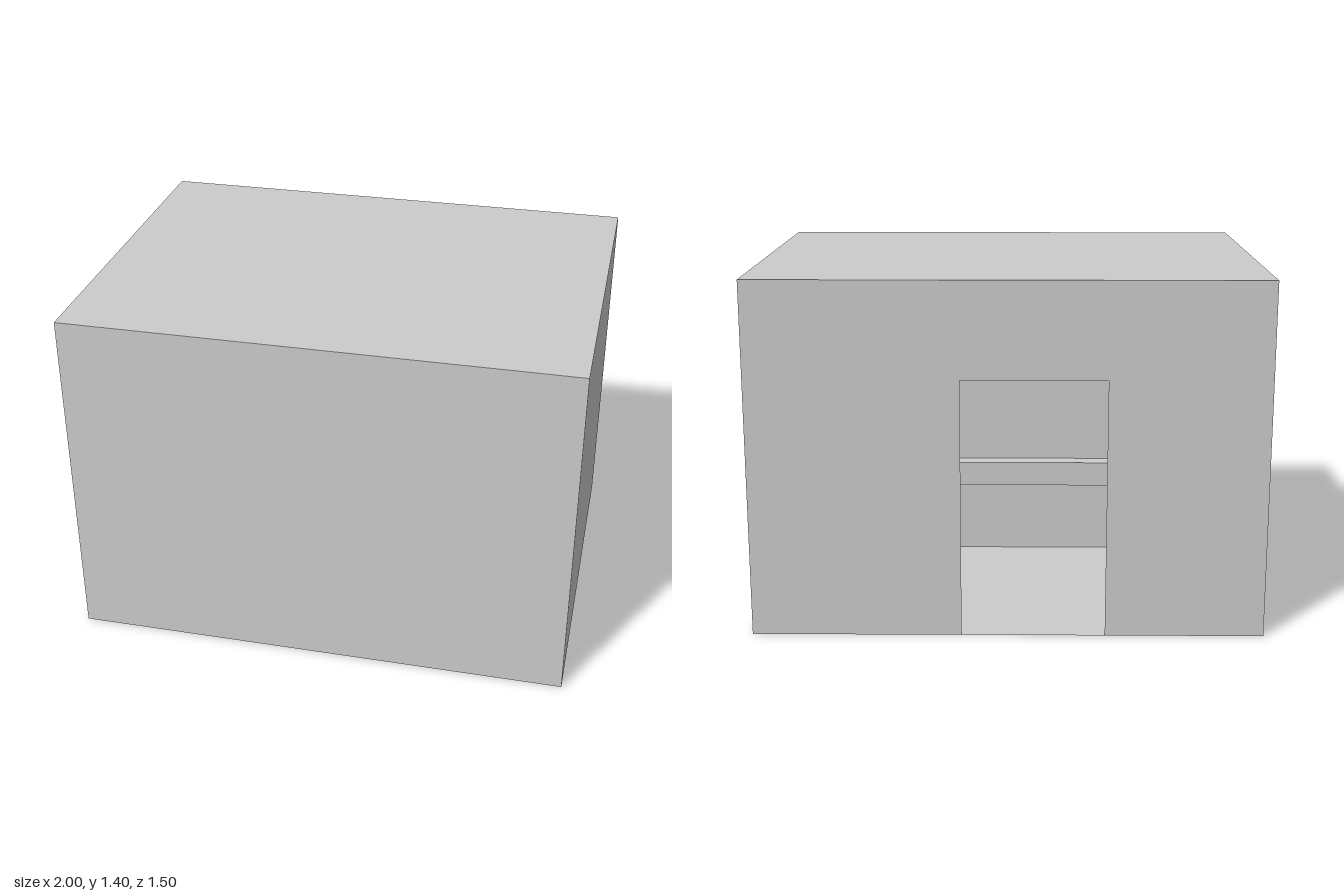
import * as THREE from 'three';

const W = 2, H = 1.4, D = 1.5;
const material = new THREE.MeshStandardMaterial({ color: 0xcccccc, flatShading: true, side: THREE.DoubleSide });

function add(parent, name, geometry, x, y, z, rx = 0, ry = 0) {
  const mesh = new THREE.Mesh(geometry, material);
  mesh.name = name;
  mesh.position.set(x, y, z);
  mesh.rotation.set(rx, ry, 0);
  parent.add(mesh);
  return mesh;
}

// Back wall outline, notched at the bottom by the doorway
function backWallGeometry() {
  const points = [[-1, 0], [-0.38, 0], [-0.38, 1.02], [0.18, 1.02], [0.18, 0], [1, 0], [1, H], [-1, H]];
  return new THREE.ShapeGeometry(new THREE.Shape(points.map(([x, y]) => new THREE.Vector2(x, y))));
}

export function createModel() {
  const model = new THREE.Group();
  model.name = 'room';

  // Thin shell: floor, roof and walls
  const slab = new THREE.PlaneGeometry(W, D);
  add(model, 'floor', slab, 0, 0, 0, Math.PI / 2);
  add(model, 'roof', slab, 0, H, 0, -Math.PI / 2);
  add(model, 'frontWall', new THREE.PlaneGeometry(W, H), 0, H / 2, D / 2);
  for (const side of [-1, 1]) {
    add(model, side > 0 ? 'leftWall' : 'rightWall', new THREE.PlaneGeometry(D, H),
      side * W / 2, H / 2, 0, 0, side * Math.PI / 2);
  }
  const back = backWallGeometry();
  back.scale(-1, 1, 1); // mirrored so that the turned wall keeps its door position
  back.index.array.reverse();
  back.computeVertexNormals();
  add(model, 'backWall', back, 0, 0, -D / 2, 0, Math.PI);

  // Low open enclosure along the front wall, with narrow ledges
  const enclosure = new THREE.Group();
  enclosure.name = 'lowEnclosure';
  model.add(enclosure);
  const h = 0.3, nearZ = 0.3, depth = D / 2 - nearZ, ledge = 0.06;
  add(enclosure, 'lowPartition', new THREE.PlaneGeometry(W, h), 0, h / 2, nearZ, 0, Math.PI);
  for (const side of [-1, 1]) {
    add(enclosure, side > 0 ? 'leftLedge' : 'rightLedge', new THREE.BoxGeometry(ledge, h, depth),
      side * (W / 2 - ledge / 2), h / 2, nearZ + depth / 2);
  }
  add(enclosure, 'frontLedge', new THREE.BoxGeometry(W - 2 * ledge, h, 0.08), 0, h / 2, D / 2 - 0.04);

  return model;
}
